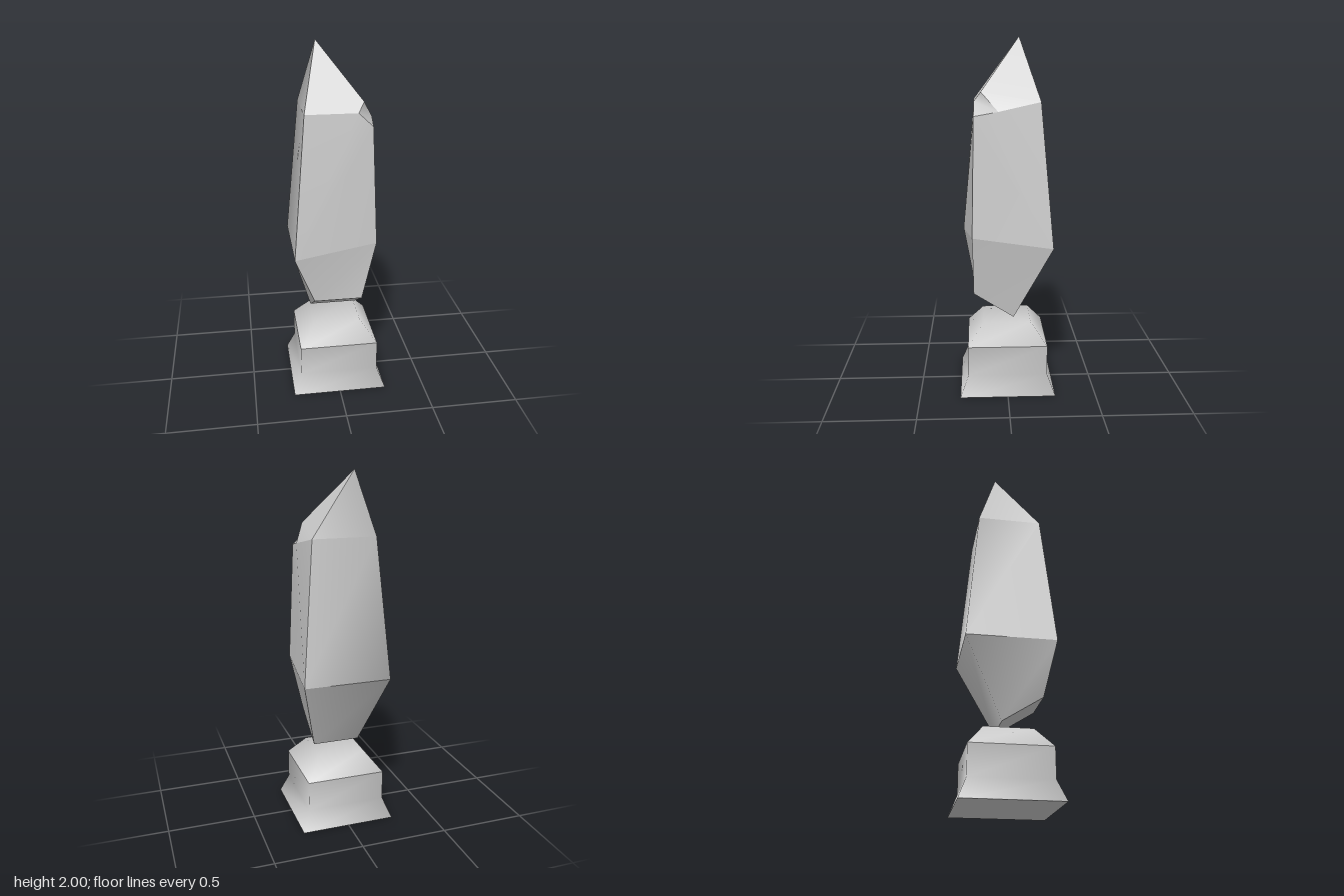
import * as THREE from 'three';
import { mergeGeometries } from 'three/addons/utils/BufferGeometryUtils.js';

const material = new THREE.MeshStandardMaterial({ color: 0xcccccc });

// One smoothing group: polygons (lists of named corners) share normals only with each other.
function smoothGroup(points, polygons) {
  const names = [...new Set(polygons.flat())];
  const index = [];
  for (const polygon of polygons) {
    const ids = polygon.map((name) => names.indexOf(name));
    for (let i = 1; i < ids.length - 1; i++) index.push(ids[0], ids[i], ids[i + 1]);
  }
  const geometry = new THREE.BufferGeometry();
  const positions = names.flatMap((name) => points[name]);
  geometry.setAttribute('position', new THREE.Float32BufferAttribute(positions, 3));
  geometry.setIndex(index);
  geometry.computeVertexNormals();
  return geometry;
}

function facetedMesh(name, points, groups) {
  const mesh = new THREE.Mesh(mergeGeometries(groups.map((g) => smoothGroup(points, g))), material);
  mesh.name = name;
  return mesh;
}

// Square pedestal: flared foot, straight block, sloped top
function createPedestal() {
  const profile = [[0.27, 0], [0.225, 0.115], [0.225, 0.285], [0.135, 0.4]];
  const corners = [[-1, 1], [1, 1], [1, -1], [-1, -1]];
  const points = {};
  profile.forEach(([half, y], level) => corners.forEach(([x, z], c) => {
    points[`${level}-${c}`] = [x * half, y, z * half];
  }));
  const ring = (level) => corners.map((_, c) => `${level}-${c}`);
  const band = (level) => corners.map((_, c) => {
    const next = (c + 1) % 4;
    return [`${level}-${c}`, `${level}-${next}`, `${level + 1}-${next}`, `${level + 1}-${c}`];
  });
  return facetedMesh('pedestal', points, [
    [...band(0), ...band(1)],
    [...band(2), ring(3)],
    [ring(0).reverse()],
  ]);
}

// Floating crystal with an off-centre tip and one chipped corner
function createCrystal() {
  const points = {
    tip: [-0.09, 2, -0.075],
    // shoulder
    shoulderFL: [-0.18, 1.655, 0.18],
    shoulderBR: [0.18, 1.655, -0.18],
    shoulderBL: [-0.18, 1.655, -0.18],
    // chip at the front corner
    chipTop: [0.14, 1.706, 0.142],
    chipFront: [0.105, 1.655, 0.18],
    chipLow: [0.185, 1.58, 0.182],
    chipSide: [0.2, 1.605, 0.05],
    // widest ring
    waistFL: [-0.25, 0.865, 0.25],
    waistFR: [0.213, 0.92, 0.195],
    waistBR: [0.25, 0.865, -0.25],
    waistBL: [-0.25, 0.865, -0.25],
    // slanted underside
    footFL: [-0.137, 0.575, 0.19],
    footFR: [0.135, 0.575, 0.19],
    footBR: [0.135, 0.432, -0.037],
    footBL: [-0.137, 0.432, -0.037],
  };
  return facetedMesh('crystal', points, [
    // tip facets
    [['shoulderFL', 'chipFront', 'chipTop', 'tip']],
    [['chipTop', 'chipSide', 'shoulderBR', 'tip']],
    [['shoulderBR', 'shoulderBL', 'tip'], ['shoulderBL', 'shoulderFL', 'tip']],
    // chip
    [['chipFront', 'chipLow', 'chipSide', 'chipTop']],
    // body: sharp front and side, soft back corner
    [['waistFL', 'waistFR', 'chipLow', 'chipFront', 'shoulderFL']],
    [['waistBR', 'shoulderBR', 'chipSide', 'chipLow', 'waistFR']],
    [['waistBR', 'waistBL', 'shoulderBL', 'shoulderBR'],
      ['waistBL', 'waistFL', 'shoulderFL', 'shoulderBL']],
    // tapered lower part
    [['footFL', 'footFR', 'waistFR', 'waistFL']],
    [['footFR', 'footBR', 'waistBR', 'waistFR']],
    [['footBR', 'footBL', 'waistBL', 'waistBR'], ['footBL', 'footFL', 'waistFL', 'waistBL']],
    // underside
    [['footBL', 'footBR', 'footFR', 'footFL']],
  ]);
}

export function createModel() {
  const model = new THREE.Group();
  model.name = 'crystalOnPedestal';
  model.add(createPedestal(), createCrystal());
  return model;
}
